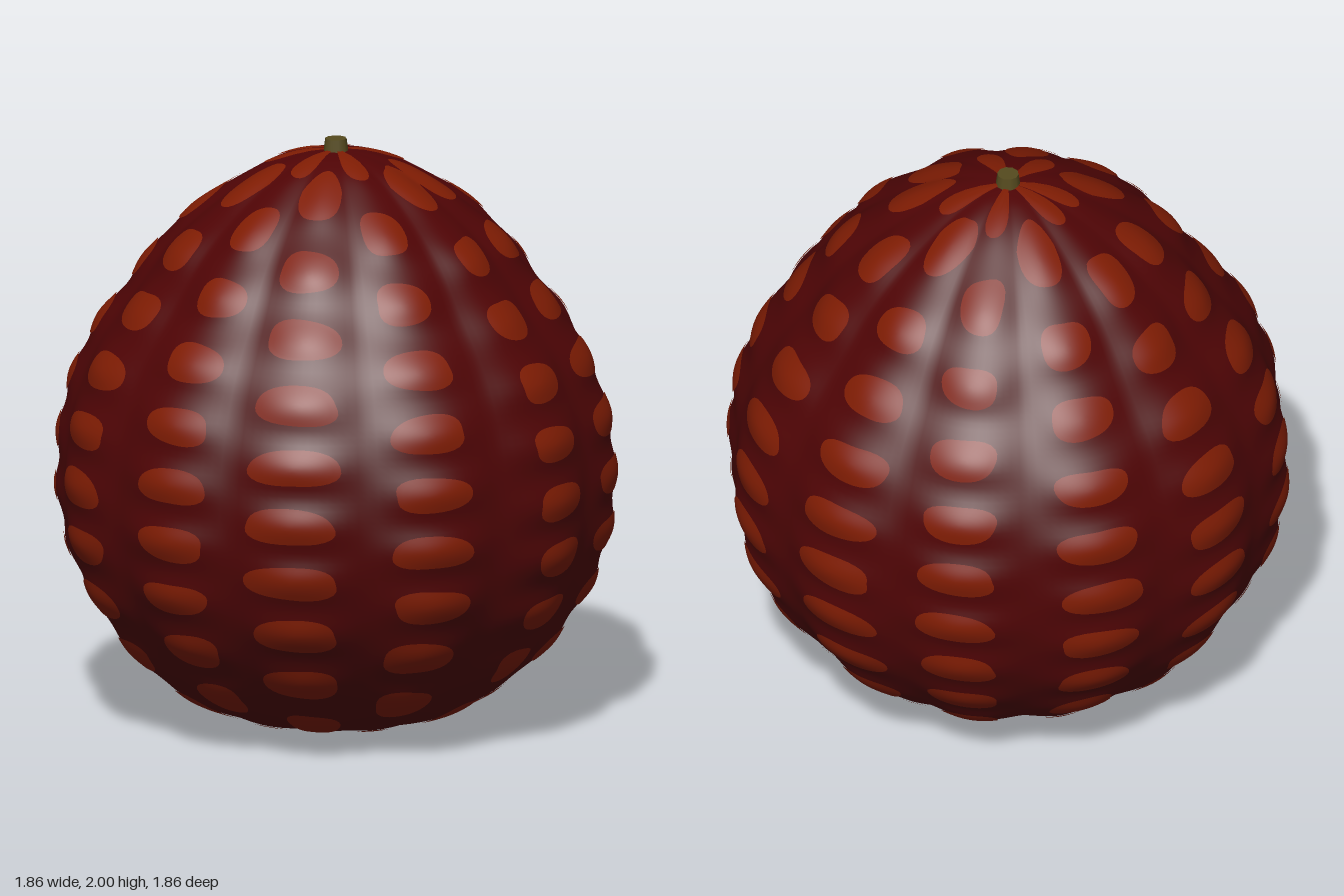
import * as THREE from 'three';
import { mergeVertices } from 'three/addons/utils/BufferGeometryUtils.js';

const HEIGHT = 1.962;          // body height, without the stem
const PERIOD = 0.1965;         // vertical spacing of bumps in a column
const COLUMNS = 12;

// Half width and sideways shift of the spots in each column, in radians
const SPOT_WIDTH = [0.17, 0.15, 0.125, 0.155, 0.15, 0.16, 0.145, 0.15, 0.15, 0.15, 0.15, 0.14];
const SPOT_SHIFT = [-0.02, -0.02, 0.04, -0.02, 0.02, 0.02, -0.02, 0, 0, 0, 0.02, 0.02];

// Half outline of the body: radius, height
const profile = new THREE.SplineCurve([
  [0, 0.004], [0.25, 0.024], [0.43, 0.078], [0.6, 0.19], [0.715, 0.31], [0.838, 0.5],
  [0.9, 0.7], [0.912, 0.88], [0.885, 1.1], [0.798, 1.32], [0.67, 1.5], [0.552, 1.66],
  [0.41, 1.79], [0.25, 1.895], [0.12, 1.947], [0, HEIGHT],
].map(([r, y]) => new THREE.Vector2(r, y)));

// Column pattern: neighbours alternate in sign, and the back mirrors the front
const columnWave = (theta) => Math.sin(theta * COLUMNS / 2) * Math.sign(Math.cos(theta));

// Soft ribs with staggered bumps: columns of opposite sign are half a period apart
function bump(theta, y, r) {
  const s = columnWave(theta);
  const wave = 0.75 - 0.25 * Math.sign(s) * Math.cos(2 * Math.PI * y / PERIOD);
  return 0.034 * Math.pow(Math.abs(s), 1.4) * wave * Math.min(1, r / 0.5);
}

// Point on the bumpy skin, raised by lift along the outline normal
function surface(theta, u, lift = 0) {
  const p = profile.getPoint(u);
  const t = profile.getTangent(u);
  const r = p.x + bump(theta, p.y, p.x) + lift * t.y;
  return new THREE.Vector3(r * Math.sin(theta), p.y - lift * t.x, r * Math.cos(theta));
}

// Profile parameter at a given height
function paramAt(y) {
  let lo = 0, hi = 1;
  for (let i = 0; i < 24; i++) {
    const mid = (lo + hi) / 2;
    if (profile.getPoint(mid).y < y) lo = mid; else hi = mid;
  }
  return (lo + hi) / 2;
}

// Move every vertex of a geometry by a rule and smooth it
function reshape(geometry, rule) {
  const pos = geometry.attributes.position;
  const v = new THREE.Vector3();
  for (let i = 0; i < pos.count; i++) {
    v.copy(rule(v.fromBufferAttribute(pos, i)));
    pos.setXYZ(i, v.x, v.y, v.z);
  }
  geometry.deleteAttribute('uv');
  geometry.deleteAttribute('normal');
  const merged = mergeVertices(geometry, 1e-5);
  merged.computeVertexNormals();
  return merged;
}

export function createModel() {
  const group = new THREE.Group();
  const skin = new THREE.MeshStandardMaterial({ name: 'dark red skin', color: 0x4f0405 });
  const spotColor = new THREE.MeshStandardMaterial({ name: 'rust spots', color: 0x7f1c03 });
  const stemColor = new THREE.MeshStandardMaterial({ name: 'olive stem', color: 0x554a1e });

  let seed = 7;
  const rand = () => (seed = (seed * 16807) % 2147483647) / 2147483647;

  // Body
  const bodyGeometry = reshape(new THREE.SphereGeometry(1, 168, 140), (v) =>
    surface(Math.atan2(v.x, v.z), 1 - Math.acos(THREE.MathUtils.clamp(v.y, -1, 1)) / Math.PI));
  const body = new THREE.Mesh(bodyGeometry, skin);
  body.name = 'body';
  group.add(body);

  // Spots: thin rounded patches lying on the bumps, broader in angle near the poles
  const spots = new THREE.Group();
  spots.name = 'spots';
  for (let c = 0; c < COLUMNS; c++) {
    const theta0 = (c + 0.5) * 2 * Math.PI / COLUMNS;
    const shift = columnWave(theta0) > 0 ? 0.5 : 0;
    for (let k = 0; k + shift <= 10; k++) {
      const y0 = (k + shift) * PERIOD;
      const height = 0.058 + 0.006 * (rand() - 0.5);
      const theta1 = theta0 + SPOT_SHIFT[c] + 0.02 * (rand() - 0.5);
      const a2 = rand() * 6.28, a3 = rand() * 6.28;
      const geometry = reshape(new THREE.RingGeometry(0, 1, 32, 6), (v) => {
        const a = Math.atan2(v.y, v.x);
        const corner = Math.pow(Math.abs(Math.cos(a)) ** 2.5 + Math.abs(Math.sin(a)) ** 2.5, -0.4);
        const size = corner * (1 + 0.04 * Math.sin(2 * a + a2) + 0.05 * Math.sin(3 * a + a3));
        const y = THREE.MathUtils.clamp(y0 + v.y * size * height, 0.007, HEIGHT - 0.002);
        const u = paramAt(y);
        const width = Math.max(SPOT_WIDTH[c], Math.min(0.25, 0.07 / profile.getPoint(u).x));
        return surface(theta1 + v.x * size * width, u, 0.004);
      });
      const spot = new THREE.Mesh(geometry, spotColor);
      spot.name = 'spot';
      spots.add(spot);
    }
  }
  group.add(spots);

  // Stem
  const stemGeometry = new THREE.CylinderGeometry(0.036, 0.044, 0.06, 10);
  const stem = new THREE.Mesh(stemGeometry, stemColor);
  stem.name = 'stem';
  stem.position.y = 1.97;
  group.add(stem);

  return group;
}
